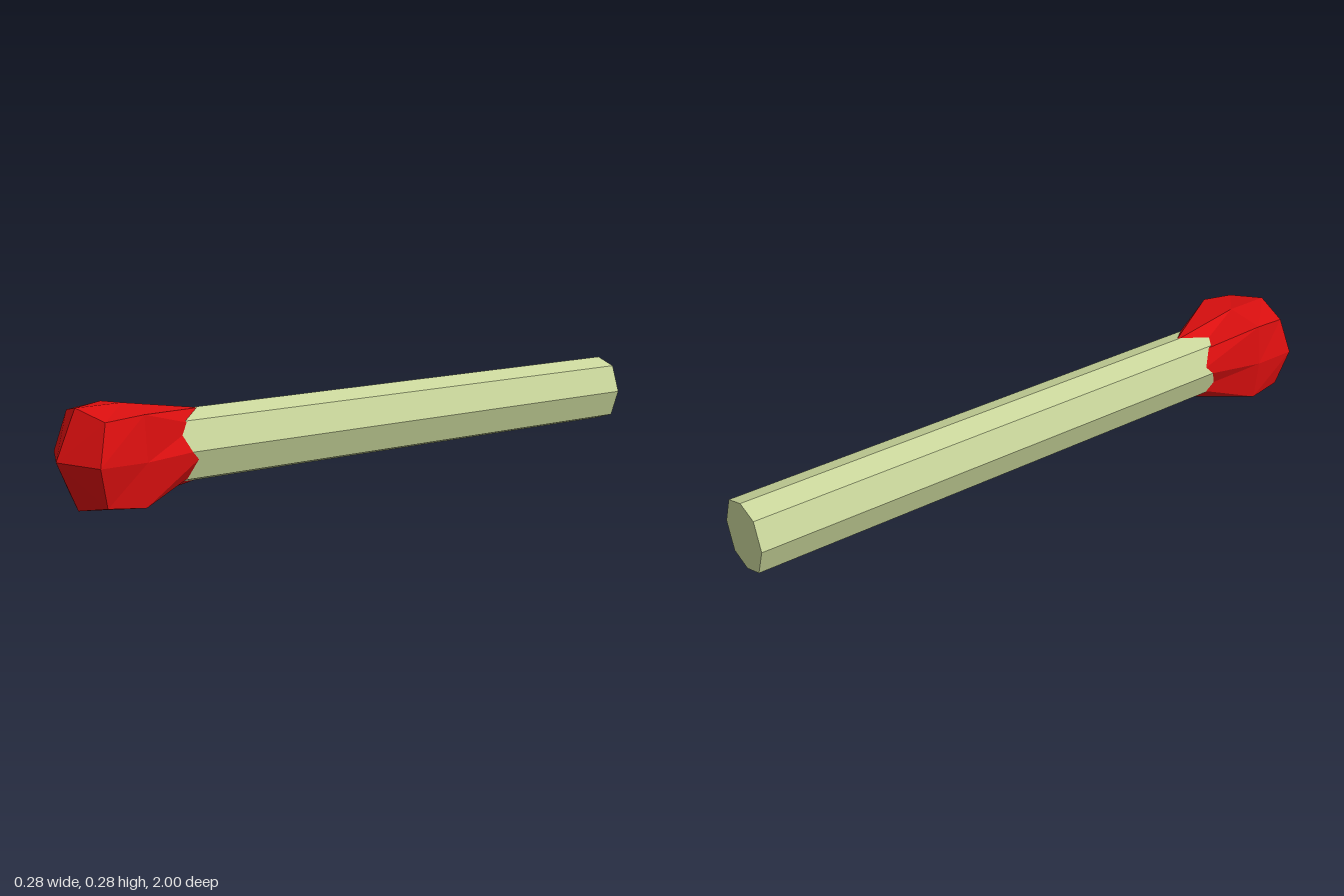
import * as THREE from 'three';

const CENTRE_Y = 0.143;

// Eight-point ring: points on the axes (sideX, topY) alternate with corner points
function ring({ sideX, topY, cornerX, cornerY, sideZ, topZ, cornerZ }) {
  return Array.from({ length: 8 }, (_, k) => {
    const c = Math.sign(Math.round(Math.cos(k * Math.PI / 4) * 10));
    const s = Math.sign(Math.round(Math.sin(k * Math.PI / 4) * 10));
    if (k % 2) return [c * cornerX, CENTRE_Y + s * cornerY, cornerZ];
    return s === 0 ? [c * sideX, CENTRE_Y, sideZ] : [0, CENTRE_Y + s * topY, topZ];
  });
}

// Closed faceted solid through rings ordered from front to back
function loft(rings, frontZ, backZ) {
  const front = [0, CENTRE_Y, frontZ], back = [0, CENTRE_Y, backZ];
  const first = rings[0], last = rings[rings.length - 1];
  const points = [];
  for (let k = 0; k < 8; k++) {
    const n = (k + 1) % 8;
    points.push(front, first[k], first[n], back, last[n], last[k]);
    for (let i = 0; i < rings.length - 1; i++) {
      const a = rings[i], b = rings[i + 1];
      points.push(a[k], b[k], b[n], a[k], b[n], a[n]);
    }
  }
  const geometry = new THREE.BufferGeometry();
  geometry.setAttribute('position', new THREE.Float32BufferAttribute(points.flat(), 3));
  geometry.computeVertexNormals();
  return geometry;
}

export function createModel() {
  const group = new THREE.Group();
  group.name = 'matchstick';
  const red = new THREE.MeshStandardMaterial({ name: 'red', color: 0xdb0f0f, flatShading: true });
  const wood = new THREE.MeshStandardMaterial({ name: 'paleWood', color: 0xc9d69b, flatShading: true });

  // Octagonal stick, running into the head
  const stickRing = z => ring({
    sideX: 0.098, topY: 0.105, cornerX: 0.068, cornerY: 0.083, sideZ: z, topZ: z, cornerZ: z,
  });
  const stick = new THREE.Mesh(loft([stickRing(0.75), stickRing(-1)], 0.75, -1), wood);
  stick.name = 'stick';

  // Faceted head with a pointed front and a tapering neck
  const head = new THREE.Mesh(loft([
    ring({ sideX: 0.142, topY: 0.142, cornerX: 0.117, cornerY: 0.117, sideZ: 0.94, topZ: 0.94, cornerZ: 0.91 }),
    ring({ sideX: 0.142, topY: 0.142, cornerX: 0.128, cornerY: 0.128, sideZ: 0.8, topZ: 0.8, cornerZ: 0.8 }),
    ring({ sideX: 0.08, topY: 0.102, cornerX: 0.055, cornerY: 0.067, sideZ: 0.57, topZ: 0.56, cornerZ: 0.6 }),
  ], 1, 0.57), red);
  head.name = 'head';

  group.add(stick, head);
  return group;
}
